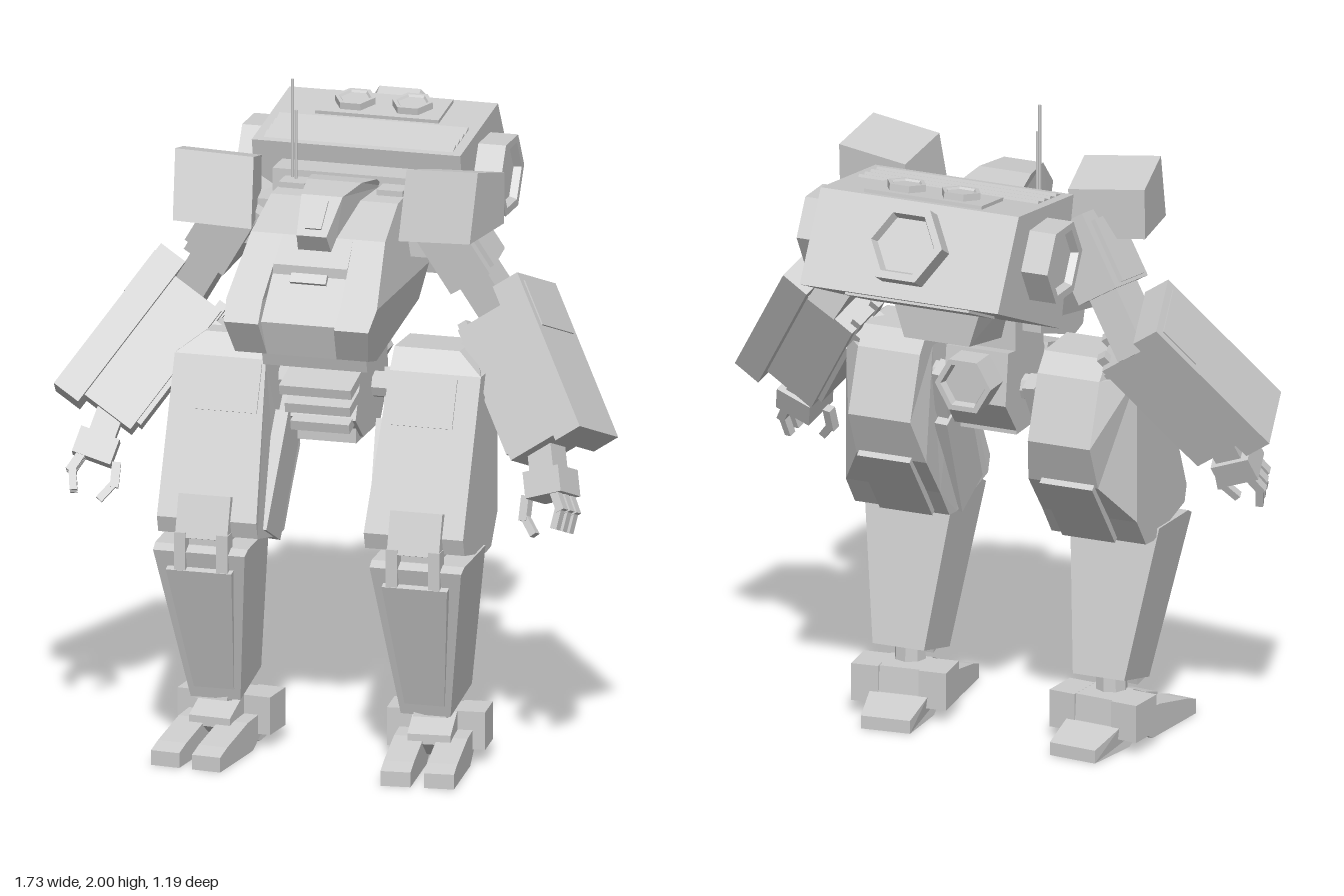
import * as THREE from 'three';

const mat = new THREE.MeshStandardMaterial({ color: 0xcccccc, flatShading: true });

function add(parent, name, geo, pos = [0, 0, 0], rot = [0, 0, 0]) {
  const m = new THREE.Mesh(geo, mat);
  m.name = name;
  m.position.set(...pos);
  m.rotation.set(...rot);
  parent.add(m);
  return m;
}

const box = (parent, name, size, pos, rot) => add(parent, name, new THREE.BoxGeometry(...size), pos, rot);

// Side profile of [z, y] points, extruded from x0 to x1; rule may move vertices
function prism(parent, name, pts, x0, x1, rule) {
  const shape = new THREE.Shape(pts.map(p => new THREE.Vector2(...p)));
  const geo = new THREE.ExtrudeGeometry(shape, { depth: x1 - x0, bevelEnabled: false });
  geo.rotateY(-Math.PI / 2).translate(x1, 0, 0);
  if (rule) {
    const p = geo.attributes.position, v = new THREE.Vector3();
    for (let i = 0; i < p.count; i++) {
      rule(v.fromBufferAttribute(p, i));
      p.setXYZ(i, v.x, v.y, v.z);
    }
    geo.computeVertexNormals();
  }
  return add(parent, name, geo);
}

// Six-sided thruster with a recessed mouth
function nozzle(parent, name, r, h, pos, dir, spin = Math.PI / 6) {
  const pts = [[r, 0], [r, h], [r * 0.8, h], [r * 0.72, h * 0.75], [0, h * 0.75]].map(p => new THREE.Vector2(...p));
  const m = add(parent, name, new THREE.LatheGeometry(pts, 6).rotateY(spin), pos);
  m.quaternion.setFromUnitVectors(new THREE.Vector3(0, 1, 0), new THREE.Vector3(...dir).normalize());
}

// Group whose -y runs along "down" and whose +z leans to "front"
function limb(parent, name, at, down, front) {
  const g = new THREE.Group();
  g.name = name;
  const y = new THREE.Vector3(...down).normalize().negate();
  const x = new THREE.Vector3().crossVectors(y, new THREE.Vector3(...front)).normalize();
  const z = new THREE.Vector3().crossVectors(x, y);
  g.quaternion.setFromRotationMatrix(new THREE.Matrix4().makeBasis(x, y, z));
  g.position.set(...at);
  parent.add(g);
  return g;
}

function buildTorso(root) {
  const g = new THREE.Group();
  g.name = 'torso';
  root.add(g);
  // cockpit body: two cheeks and a recessed centre, widest at y = 1.45
  const upper = [[0.541, 1.45], [0, 1.45], [0, 1.69], [0.2, 1.68], [0.37, 1.61]];
  const lower = [[0.54, 1.29], [0.44, 1.265], [0.05, 1.35], [0, 1.45]];
  const widen = v => { v.x *= v.y > 1.45 ? 1.1 - (v.y - 1.45) * 0.75 : 1.1 - (1.45 - v.y) * 0.8; };
  for (const [x0, x1] of [[0.11, 0.21], [-0.21, -0.11]]) {
    prism(g, 'cockpitCheekUpper', upper, x0, x1, widen);
    prism(g, 'cockpitCheekLower', [[0.541, 1.45], [0.6, 1.395], ...lower], x0, x1, widen);
  }
  prism(g, 'cockpitCentre', [[0.57, 1.395], ...lower, [0, 1.69], [0.2, 1.68], [0.37, 1.61], [0.45, 1.54], [0.45, 1.51]],
    -0.11, 0.11, widen);
  box(g, 'noseHandle', [0.11, 0.015, 0.03], [0, 1.505, 0.465], [0.9, 0, 0]);
  prism(g, 'belly', [[0.42, 1.28], [0.4, 1.215], [0.34, 1.2], [0.1, 1.28], [0.1, 1.36]], -0.16, 0.16);
  // canopy hood that narrows toward the front
  prism(g, 'canopy', [[0.03, 1.68], [0.1, 1.63], [0.39, 1.55], [0.44, 1.63], [0.33, 1.725], [0.2, 1.735], [0.1, 1.72]],
    -0.1, 0.1, v => { v.x *= 1 - Math.max(0, v.z - 0.1) * 1.6; });
  box(g, 'canopyWindow', [0.05, 0.1, 0.01], [0, 1.679, 0.384], [-0.86, 0, 0]);
  box(g, 'neckBlock', [0.46, 0.2, 0.14], [0, 1.62, 0]);
  for (const x of [-0.15, 0.15]) box(g, 'collarBlock', [0.08, 0.04, 0.08], [x, 1.68, 0.1]);
  // aerials
  add(g, 'longAerial', new THREE.CylinderGeometry(0.005, 0.005, 0.35, 6), [-0.165, 1.825, 0.08]);
  add(g, 'shortAerial', new THREE.CylinderGeometry(0.004, 0.004, 0.25, 6), [-0.15, 1.785, 0.095]);
}

function buildBackpack(root) {
  const g = new THREE.Group();
  g.name = 'backpack';
  root.add(g);
  prism(g, 'backpackBody', [[-0.02, 1.775], [-0.11, 1.385], [-0.56, 1.575], [-0.41, 1.83]], -0.32, 0.32);
  prism(g, 'lowerTank', [[-0.06, 1.31], [-0.29, 1.355], [-0.29, 1.5], [-0.09, 1.45]], -0.15, 0.15,
    v => { if (v.y < 1.4) v.x *= 0.7; });
  box(g, 'bottomPanel', [0.4, 0.012, 0.2], [0, 1.51, -0.41], [0.4, 0, 0]);
  nozzle(g, 'rearNozzle', 0.127, 0.11, [0, 1.684, -0.438], [0, 0.51, -0.86]);
  for (const s of [-1, 1]) nozzle(g, 'sideNozzle', 0.125, 0.09, [s * 0.315, 1.655, -0.27], [s, 0, 0], 0);
  // top deck
  const deck = new THREE.Group();
  deck.name = 'topDeck';
  deck.position.set(0, 1.775, -0.02);
  deck.rotation.x = 0.142;
  g.add(deck);
  for (let i = 0; i < 4; i++) box(deck, 'ventSlat', [0.58, 0.012, 0.04], [0, -0.002, -0.04 - i * 0.043], [0.25, 0, 0]);
  box(deck, 'hatchPlate', [0.38, 0.016, 0.155], [0, 0.002, -0.295]);
  for (const x of [-0.088, 0.088]) nozzle(deck, 'topCap', 0.062, 0.025, [x, 0.006, -0.295], [0, 1, 0]);
}

function buildPelvis(root) {
  const g = new THREE.Group();
  g.name = 'pelvis';
  root.add(g);
  box(g, 'waist', [0.2, 0.22, 0.2], [0, 1.25, 0.15]);
  prism(g, 'hipBlock', [[0.25, 1.2], [0.0, 1.24], [-0.02, 1.08], [0.06, 0.98], [0.24, 0.97], [0.32, 1.04]], -0.1, 0.1);
  for (let i = 0; i < 3; i++) box(g, 'frontFin', [0.22 - i * 0.02, 0.03, 0.15], [0, 1.16 - i * 0.06, 0.33 - i * 0.025], [0.25, 0, 0]);
  box(g, 'crotchPlate', [0.18, 0.05, 0.2], [0, 0.985, 0.18]);
  nozzle(g, 'hipNozzle', 0.09, 0.09, [0, 1.157, -0.015], [0, 0, -1]);
  const axle = add(g, 'hipAxle', new THREE.CylinderGeometry(0.04, 0.04, 0.5, 8), [0, 1.1, 0.12]);
  axle.rotation.z = Math.PI / 2;
}

function buildArm(side) {
  // shoulder
  prism(side, 'shoulderPod', [[0.265, 1.81], [0.085, 1.765], [0.09, 1.61], [0.32, 1.605]], 0.245, 0.475, v => {
    const dx = v.x - 0.36;
    v.x -= (v.z - 0.2) * 0.16;
    v.y += dx * 0.08;
    v.z += dx * 0.16;
  });
  box(side, 'shoulderJoint', [0.2, 0.14, 0.14], [0.25, 1.58, 0.09]);
  const upper = limb(side, 'upperArm', [0.28, 1.66, 0.11], [0.2, -0.33, -0.05], [0, 0, 1]);
  box(upper, 'upperArmBox', [0.14, 0.24, 0.2], [0, -0.12, 0]);
  box(upper, 'upperArmStrut', [0.1, 0.24, 0.13], [0, -0.32, 0]);
  box(upper, 'upperArmPlate', [0.02, 0.2, 0.14], [0.075, -0.13, 0]);
  // forearm
  const fore = limb(side, 'forearm', [0.705, 1.25, 0.165], [0.26, -0.385, 0.23], [-0.055, 0.085, 0.21]);
  box(fore, 'shield', [0.09, 0.52, 0.233], [-0.045, 0, 0]);
  box(fore, 'shieldPanel', [0.008, 0.15, 0.19], [0, 0.16, 0]);
  box(fore, 'forearmBox', [0.18, 0.44, 0.17], [-0.17, -0.01, 0]);
  box(fore, 'forearmInnerPlate', [0.02, 0.3, 0.13], [-0.265, -0.05, 0]);
  box(fore, 'elbowBlock', [0.08, 0.12, 0.12], [-0.26, 0.12, 0]);
  for (const z of [-0.045, 0.045]) box(fore, 'elbowClamp', [0.03, 0.07, 0.03], [-0.25, 0.2, z]);
  // hand, hanging inward from the wrist
  const hand = new THREE.Group();
  hand.name = 'hand';
  hand.position.set(-0.18, -0.23, 0);
  hand.rotation.z = -0.3;
  fore.add(hand);
  box(hand, 'wrist', [0.08, 0.09, 0.09], [0, -0.02, 0]);
  box(hand, 'palm', [0.12, 0.08, 0.12], [0.005, -0.1, 0]);
  const finger = (name, x, z, s) => {
    box(hand, name, [0.026, 0.075, 0.028], [x + s * 0.008, -0.16, z], [0, 0, s * 0.25]);
    box(hand, name + 'Tip', [0.022, 0.065, 0.024], [x, -0.215, z], [0, 0, -s * 0.4]);
  };
  for (const z of [-0.04, 0, 0.04]) finger('finger', 0.035, z, 1);
  finger('thumb', -0.07, 0.02, -1);
}

function buildLeg(side) {
  // thigh, with its rear outer edge cut back
  const leg = new THREE.Group();
  leg.name = 'leg';
  side.add(leg);
  const inner = v => { if (v.x < 0.3) v.x = v.y < 0.9 ? 0.165 : 0.19; };
  prism(leg, 'thigh', [[0.27, 1.19], [0.1, 1.19], [0.1, 0.735], [0.165, 0.645], [0.22, 0.64], [0.44, 0.69], [0.455, 0.74]],
    0.2, 0.47, inner);
  prism(leg, 'thighRear', [[0.1, 1.19], [0.01, 1.19], [-0.06, 1.0], [0.0, 0.86], [0.1, 0.735]], 0.2, 0.47, v => {
    inner(v);
    if (v.x > 0.4 && v.z < 0.05) v.x = 0.39;
  });
  prism(leg, 'thighCap', [[0.27, 1.19], [0.22, 1.25], [0.06, 1.245], [0.01, 1.19]], 0.19, 0.47,
    v => { if (v.x > 0.4 && (v.y > 1.2 || v.z < 0.05)) v.x = 0.39; });
  box(leg, 'thighFrontPanel', [0.2, 0.15, 0.01], [0.3, 1.11, 0.302], [-0.39, 0, 0]);
  box(leg, 'thighBackPlate', [0.17, 0.27, 0.06], [0.295, 0.77, 0.085], [-0.65, 0, 0]);
  box(leg, 'innerThighPlate', [0.04, 0.36, 0.16], [0.165, 0.83, 0.23], [-0.45, 0, 0.06]);
  box(leg, 'innerThighStrut', [0.04, 0.3, 0.07], [0.16, 1.0, 0.13], [-0.4, 0, 0.1]);
  // knee
  box(leg, 'kneeCore', [0.13, 0.16, 0.16], [0.325, 0.65, 0.37]);
  box(leg, 'kneePlate', [0.16, 0.13, 0.05], [0.325, 0.745, 0.445], [-0.3, 0, 0]);
  for (const x of [0.26, 0.39]) box(leg, 'kneeProng', [0.035, 0.12, 0.05], [x, 0.645, 0.465]);
  // shin, narrowing to the ankle
  const taper = v => {
    const t = (0.66 - v.y) / 0.48;
    v.x = 0.333 + (v.x - 0.333) * (1 - 0.45 * t) - 0.01 * t;
  };
  prism(leg, 'shin', [[0.485, 0.645], [0.455, 0.66], [0.245, 0.67], [0.15, 0.215], [0.345, 0.165]], 0.19, 0.475, taper);
  prism(leg, 'shinFrontPlate', [[0.492, 0.59], [0.46, 0.6], [0.33, 0.2], [0.36, 0.2]], 0.225, 0.44, taper);
  // ankle and foot
  const foot = new THREE.Group();
  foot.name = 'foot';
  foot.position.set(0.32, 0, 0.19);
  foot.rotation.y = 0.1;
  leg.add(foot);
  add(foot, 'ankle', new THREE.CylinderGeometry(0.045, 0.05, 0.14, 8), [0, 0.17, 0.05]);
  box(foot, 'ankleGuard', [0.1, 0.06, 0.04], [0, 0.185, 0.13], [-0.2, 0, 0]);
  prism(foot, 'instep', [[0.17, 0.08], [0.17, 0.11], [0.07, 0.155], [-0.05, 0.155], [-0.06, 0.03], [0.1, 0.03]], -0.065, 0.065);
  prism(foot, 'heel', [[-0.18, 0], [0.0, 0], [0.08, 0.04], [0.08, 0.08], [-0.06, 0.075], [-0.18, 0.04]], -0.09, 0.09,
    v => { if (v.z < -0.1) v.x *= 0.85; });
  for (const s of [-1, 1]) {
    box(foot, 'footSideBlock', [0.085, 0.115, 0.12], [s * 0.105, 0.098, 0]);
    const x = s * 0.065;
    prism(foot, 'toe', [[0.1, 0], [0.355, 0], [0.355, 0.045], [0.3, 0.062], [0.14, 0.095], [0.03, 0.1], [0.03, 0.04]], x - 0.045, x + 0.045);
  }
}

export function createModel() {
  const root = new THREE.Group();
  root.name = 'walker';
  buildTorso(root);
  buildBackpack(root);
  buildPelvis(root);
  // limbs, mirrored to the other side
  for (const s of [1, -1]) {
    const side = new THREE.Group();
    side.name = s > 0 ? 'leftLimbs' : 'rightLimbs';
    side.scale.x = s;
    root.add(side);
    buildArm(side);
    buildLeg(side);
  }
  return root;
}
